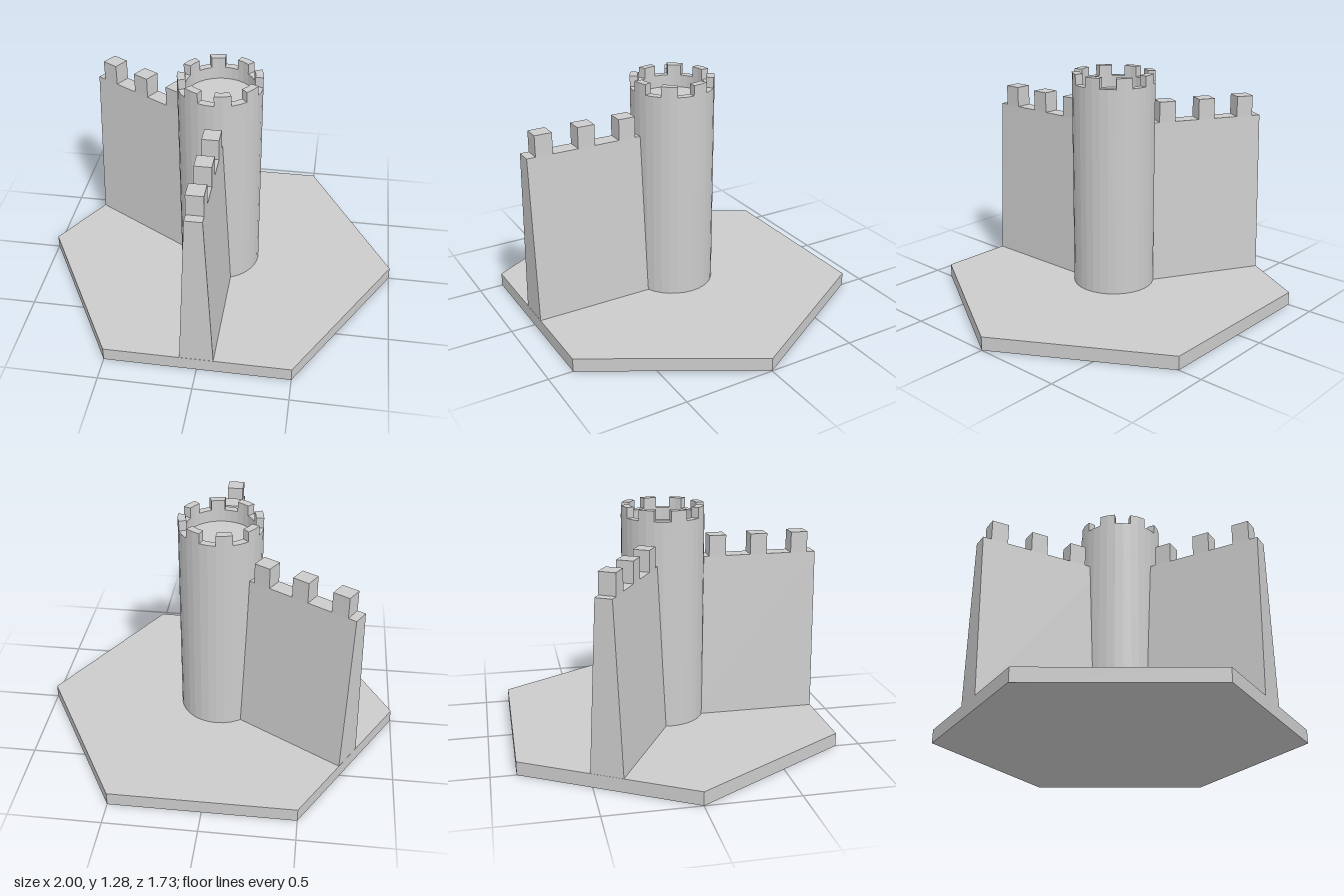
import * as THREE from 'three';

const material = new THREE.MeshStandardMaterial({ color: 0xcccccc, flatShading: true });

const BASE_H = 0.075, EDGE = 0.865;
const TOWER_R = 0.227, TOWER_INNER = 0.185, TOWER_RIM = 1.228, TOWER_TOP = 1.285;
const WALL_TOP = 0.99, MERLON_TOP = 1.105;

function add(parent, name, geometry) {
  const mesh = new THREE.Mesh(geometry, material);
  mesh.name = name;
  parent.add(mesh);
  return mesh;
}

// Tower with a sunken floor behind the parapet, and eight curved merlons
function createTower() {
  const tower = new THREE.Group();
  tower.name = 'tower';
  const profile = [
    [0, BASE_H - 0.01], [TOWER_R, BASE_H - 0.01], [TOWER_R, TOWER_RIM],
    [TOWER_INNER, TOWER_RIM], [TOWER_INNER, 1.16], [0, 1.16],
  ].map(([x, y]) => new THREE.Vector2(x, y));
  add(tower, 'towerBody', new THREE.LatheGeometry(profile, 32));

  const arc = Math.PI / 8;
  const sector = new THREE.Shape();
  sector.absarc(0, 0, TOWER_R, 0, arc, false);
  sector.absarc(0, 0, TOWER_INNER, arc, 0, true);
  sector.closePath();
  const merlon = new THREE.ExtrudeGeometry(sector, {
    depth: TOWER_TOP - TOWER_RIM, bevelEnabled: false, curveSegments: 1,
  }).rotateX(-Math.PI / 2);
  for (let i = 0; i < 8; i++) {
    const mesh = add(tower, 'towerMerlon', merlon);
    mesh.position.y = TOWER_RIM;
    mesh.rotation.y = i * Math.PI / 4;
  }
  return tower;
}

// Tapered wall running out along +z from the tower to the edge of the base
function createWall(name, angle) {
  const wall = new THREE.Group();
  wall.name = name;
  const section = new THREE.Shape([
    [-0.09, BASE_H], [0.09, BASE_H], [0.045, WALL_TOP], [-0.045, WALL_TOP],
  ].map(([x, y]) => new THREE.Vector2(x, y)));
  const start = 0.15;
  const body = new THREE.ExtrudeGeometry(section, { depth: EDGE - start, bevelEnabled: false });
  add(wall, 'wallBody', body.translate(0, 0, start));

  const h = MERLON_TOP - WALL_TOP;
  const merlon = new THREE.BoxGeometry(0.09, h, 0.095);
  for (let i = 0; i < 3; i++) {
    add(wall, 'wallMerlon', merlon).position.set(0, WALL_TOP + h / 2, 0.3 + i * 0.235);
  }
  wall.rotation.y = angle;
  return wall;
}

export function createModel() {
  const model = new THREE.Group();
  model.name = 'towerTile';

  // Hexagonal base with corners on the x axis
  const base = new THREE.CylinderGeometry(1, 1, BASE_H, 6).rotateY(Math.PI / 6);
  add(model, 'base', base).position.y = BASE_H / 2;

  model.add(
    createTower(),
    createWall('frontWall', 0),
    createWall('backRightWall', Math.PI * 4 / 3),
  );
  return model;
}
